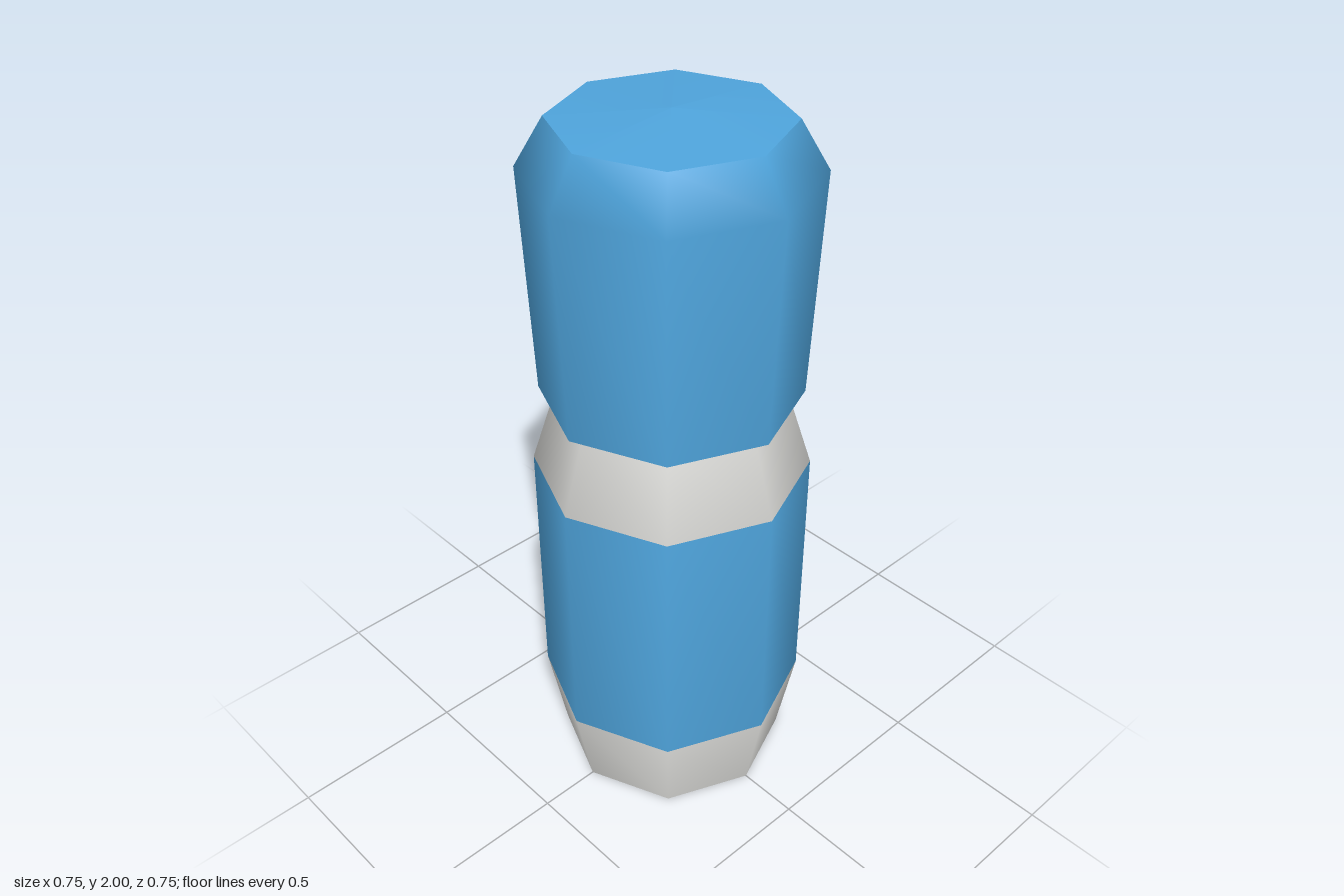
import * as THREE from 'three';

const SIDES = 8;

// Octagonal smooth-shaded surface of revolution; profile runs from bottom to top
function lathe(profile) {
  return new THREE.LatheGeometry(profile.map(([r, y]) => new THREE.Vector2(r, y)), SIDES);
}

// Keep one row of a lathe, so colour bands share continuous normals
function band(geometry, row, rows) {
  const source = geometry.getIndex().array;
  const index = [];
  for (let i = 0; i < SIDES; i++) {
    const start = (i * rows + row) * 6;
    index.push(...source.slice(start, start + 6));
  }
  return geometry.clone().setIndex(index);
}

export function createModel() {
  const blue = new THREE.MeshStandardMaterial({ color: 0x4fa5dd });
  blue.name = 'blue';
  const lightGrey = new THREE.MeshStandardMaterial({ color: 0xdbdbd8 });
  lightGrey.name = 'lightGrey';

  const model = new THREE.Group();
  model.name = 'bottle';
  const add = (name, geometry, material, parent) => {
    const mesh = new THREE.Mesh(geometry, material);
    mesh.name = name;
    parent.add(mesh);
  };

  // Body: tapered base, straight sleeve and narrowing shoulder
  const body = new THREE.Group();
  body.name = 'body';
  const shell = lathe([[0.325, 0], [0.375, 0.255], [0.375, 1.003], [0.303, 1.23]]);
  add('base', band(shell, 0, 3), lightGrey, body);
  add('sleeve', band(shell, 1, 3), blue, body);
  add('shoulder', band(shell, 2, 3), lightGrey, body);
  add('bottom', lathe([[0, 0], [0.325, 0]]), lightGrey, body);

  // Cap: flared wall with chamfered rim, shallow top and overhanging lip
  const cap = new THREE.Group();
  cap.name = 'cap';
  add('capWall', lathe([[0.35, 1.23], [0.375, 1.85], [0.3, 1.977]]), blue, cap);
  add('capTop', lathe([[0.3, 1.977], [0, 2]]), blue, cap);
  add('capLip', lathe([[0.29, 1.23], [0.35, 1.23]]), blue, cap);

  model.add(body, cap);
  return model;
}
